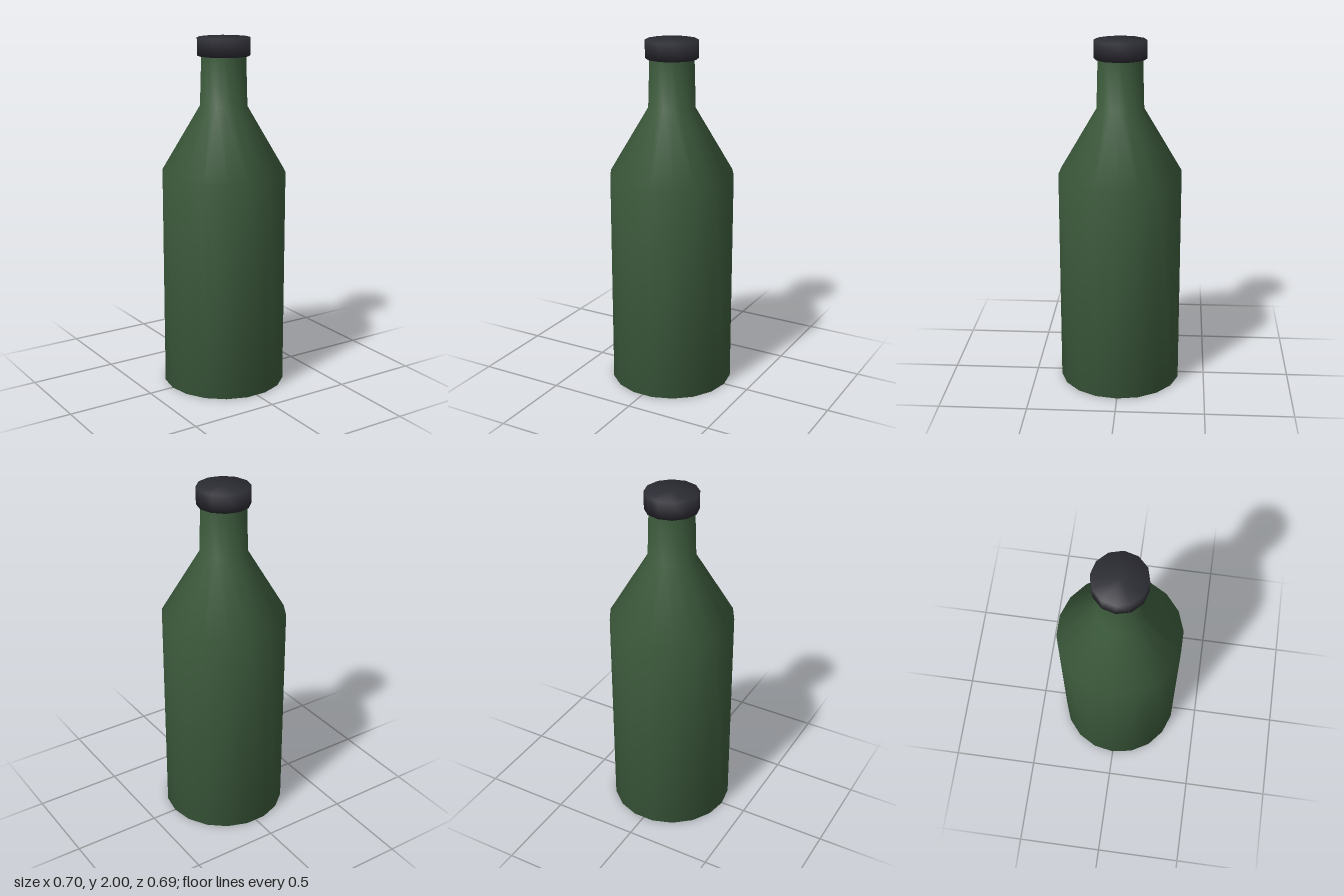
import * as THREE from 'three';

// Turns [radius, height] pairs, listed bottom to top, into a smooth solid
// with a corner of its outline on the x axis.
function turned(name, profile, sides, material) {
  const points = profile.map(([r, y]) => new THREE.Vector2(r, y));
  const mesh = new THREE.Mesh(new THREE.LatheGeometry(points, sides, Math.PI / 2), material);
  mesh.name = name;
  return mesh;
}

export function createModel() {
  const greenGlass = new THREE.MeshStandardMaterial({ name: 'green glass', color: 0x3c5a3c });
  const darkCap = new THREE.MeshStandardMaterial({ name: 'dark cap', color: 0x2c2c34 });

  const bottle = new THREE.Group();
  bottle.name = 'bottle';

  // Base, straight wall, sloping shoulder and slightly tapered neck
  bottle.add(turned('bottleBody', [
    [0, 0], [0.352, 0], [0.352, 1.25], [0.134, 1.62], [0.125, 1.92],
  ], 18, greenGlass));

  // Closed cap, a little wider than the neck
  bottle.add(turned('cap', [
    [0, 1.9], [0.148, 1.9], [0.148, 2], [0, 2],
  ], 12, darkCap));

  return bottle;
}
